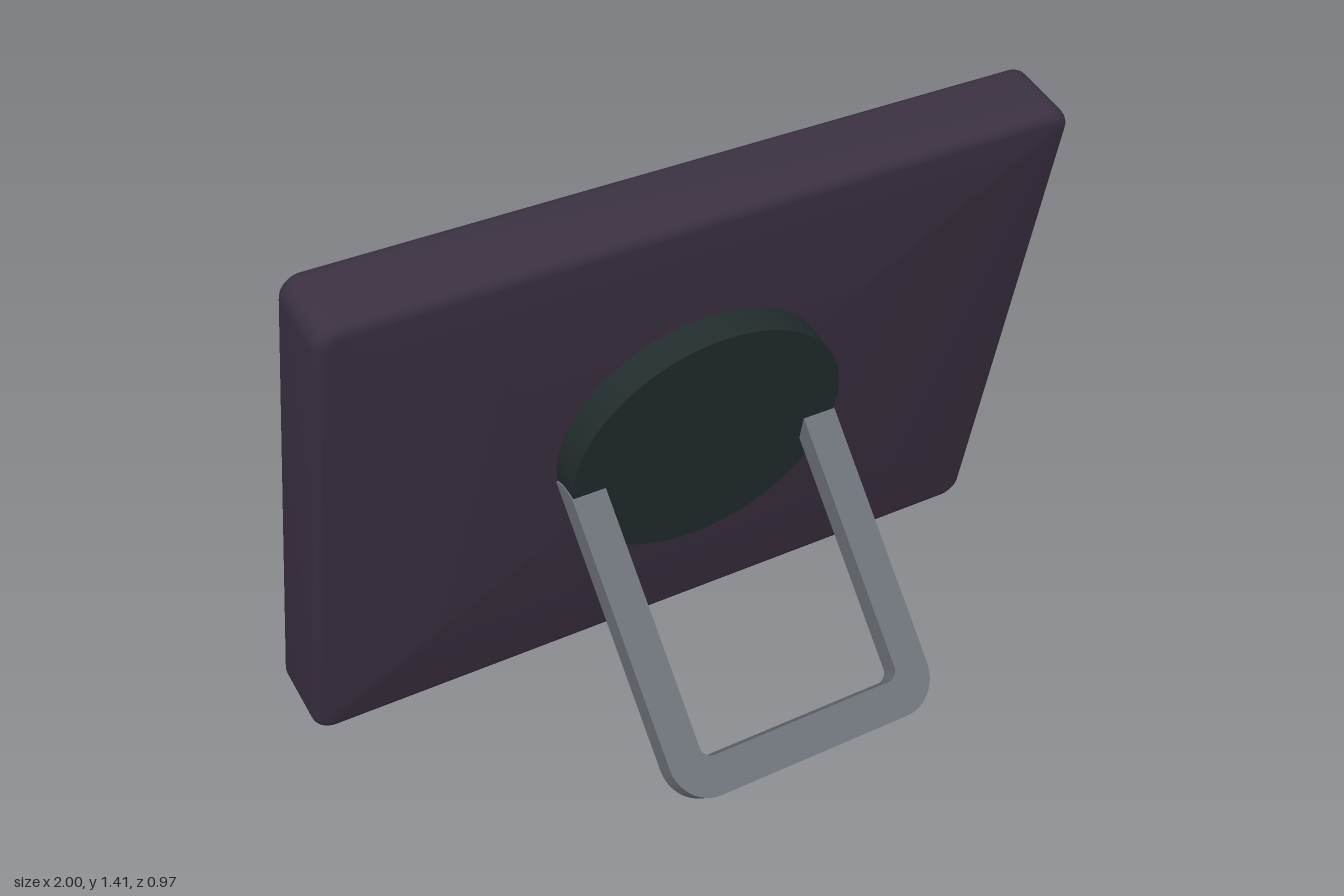
import * as THREE from 'three';
import { toCreasedNormals } from 'three/addons/utils/BufferGeometryUtils.js';

const mat = (name, color) => Object.assign(new THREE.MeshStandardMaterial({ color }), { name });

// Rounded rectangle outline, counter-clockwise, always the same point count
function roundRect(w, h, r, steps = 8) {
  const pts = [];
  for (let c = 0; c < 4; c++) {
    const sx = c === 0 || c === 3 ? 1 : -1, sy = c < 2 ? 1 : -1;
    for (let i = 0; i <= steps; i++) {
      const a = (c + i / steps) * Math.PI / 2;
      pts.push(new THREE.Vector2(sx * (w / 2 - r) + r * Math.cos(a), sy * (h / 2 - r) + r * Math.sin(a)));
    }
  }
  return pts;
}

// Skin a stack of rounded rectangles given as [inset, z], from front to back; front is capped
function casingGeometry(w, h, radius, rings) {
  const pos = [], index = [];
  const loops = rings.map(([d]) => roundRect(w - 2 * d, h - 2 * d, Math.max(radius - d, 0.03)));
  const n = loops[0].length;
  loops.forEach((loop, k) => loop.forEach(p => pos.push(p.x, p.y, rings[k][1])));
  for (let k = 0; k < rings.length - 1; k++) {
    for (let i = 0; i < n; i++) {
      const j = (i + 1) % n, a = k * n + i, b = k * n + j;
      index.push(a, a + n, b, b, a + n, b + n);
    }
  }
  pos.push(0, 0, rings[0][1]);
  for (let i = 0; i < n; i++) index.push(rings.length * n, i, (i + 1) % n);
  const g = new THREE.BufferGeometry();
  g.setAttribute('position', new THREE.Float32BufferAttribute(pos, 3));
  g.setIndex(index);
  return toCreasedNormals(g, 0.6);
}

export function createModel() {
  const model = new THREE.Group();
  const casingMat = mat('dark purple', 0x3a3040);
  const glassMat = mat('dark green grey', 0x222c2d);
  const metalMat = mat('grey metal', 0x6c7078);
  const add = (parent, name, geometry, material) => {
    const mesh = new THREE.Mesh(geometry, material);
    mesh.name = name;
    parent.add(mesh);
    return mesh;
  };

  // Leaning display, with its screen towards -z
  const W = 2, H = 1.412, T = 0.106, E = 0.03;
  const display = new THREE.Group();
  display.name = 'display';
  display.position.set(0, 0.705, -0.2165);
  display.rotation.x = THREE.MathUtils.degToRad(14);
  model.add(display);

  // Casing: rounded front edge, rounded back edge, then the recess for the screen
  const rings = [];
  for (let i = 0; i <= 5; i++) {
    const a = i / 5 * Math.PI / 2;
    rings.push([E * (1 - Math.sin(a)), T - E * (1 - Math.cos(a))]);
  }
  rings.push(...rings.map(([d, z]) => [d, -z]).reverse());
  rings.push([0.052, -T], [0.052, -T + 0.01]);
  add(display, 'casing', casingGeometry(W, H, 0.058, rings), casingMat);

  // Recessed screen
  const screen = add(display, 'screen',
    new THREE.ShapeGeometry(new THREE.Shape(roundRect(W - 0.104, H - 0.104, 0.03))), glassMat);
  screen.rotation.y = Math.PI;
  screen.position.z = -T + 0.01;

  // Oval hub on the other face
  const hub = add(display, 'hub', new THREE.CylinderGeometry(1, 1, 0.085, 64), glassMat);
  hub.rotation.x = Math.PI / 2;
  hub.scale.set(0.377, 1, 0.35);
  hub.position.set(0, 0.04, T + 0.0425);

  // U-shaped stand, its own y running up along the legs
  const stand = new THREE.Group();
  stand.name = 'stand';
  stand.position.set(0, 0.02, 0.44);
  stand.rotation.x = THREE.MathUtils.degToRad(-40.9);
  model.add(stand);

  const X = 0.377, leg = 0.092, bar = 0.096, top = 0.785, depth = 0.06, R = 0.105, r = 0.03;
  const x = X - leg;
  const u = new THREE.Shape();
  u.moveTo(-X, top);
  u.lineTo(-X, R);
  u.absarc(-X + R, R, R, Math.PI, Math.PI * 1.5);
  u.absarc(X - R, R, R, Math.PI * 1.5, Math.PI * 2);
  u.lineTo(X, top);
  u.lineTo(x, top);
  u.lineTo(x, bar + r);
  u.absarc(x - r, bar + r, r, 0, -Math.PI / 2, true);
  u.absarc(-x + r, bar + r, r, -Math.PI / 2, -Math.PI, true);
  u.lineTo(-x, top);
  const uGeo = new THREE.ExtrudeGeometry(u, { depth, bevelEnabled: false, curveSegments: 12 });
  add(stand, 'standLoop', toCreasedNormals(uGeo, 0.6), metalMat);

  // Curved leg ends, drawn in side profile and extruded across each leg
  const end = new THREE.Shape();
  end.moveTo(0, top);
  end.lineTo(0, 0.845);
  end.quadraticCurveTo(-0.044, 0.827, -depth, top);
  const endGeo = toCreasedNormals(
    new THREE.ExtrudeGeometry(end, { depth: leg, bevelEnabled: false, curveSegments: 10 }), 0.6);
  endGeo.translate(0, 0, -leg / 2).rotateY(Math.PI / 2);
  for (const side of [-1, 1]) {
    const tip = add(stand, side > 0 ? 'leftLegEnd' : 'rightLegEnd', endGeo, metalMat);
    tip.position.x = side * (X - leg / 2);
  }
  return model;
}
